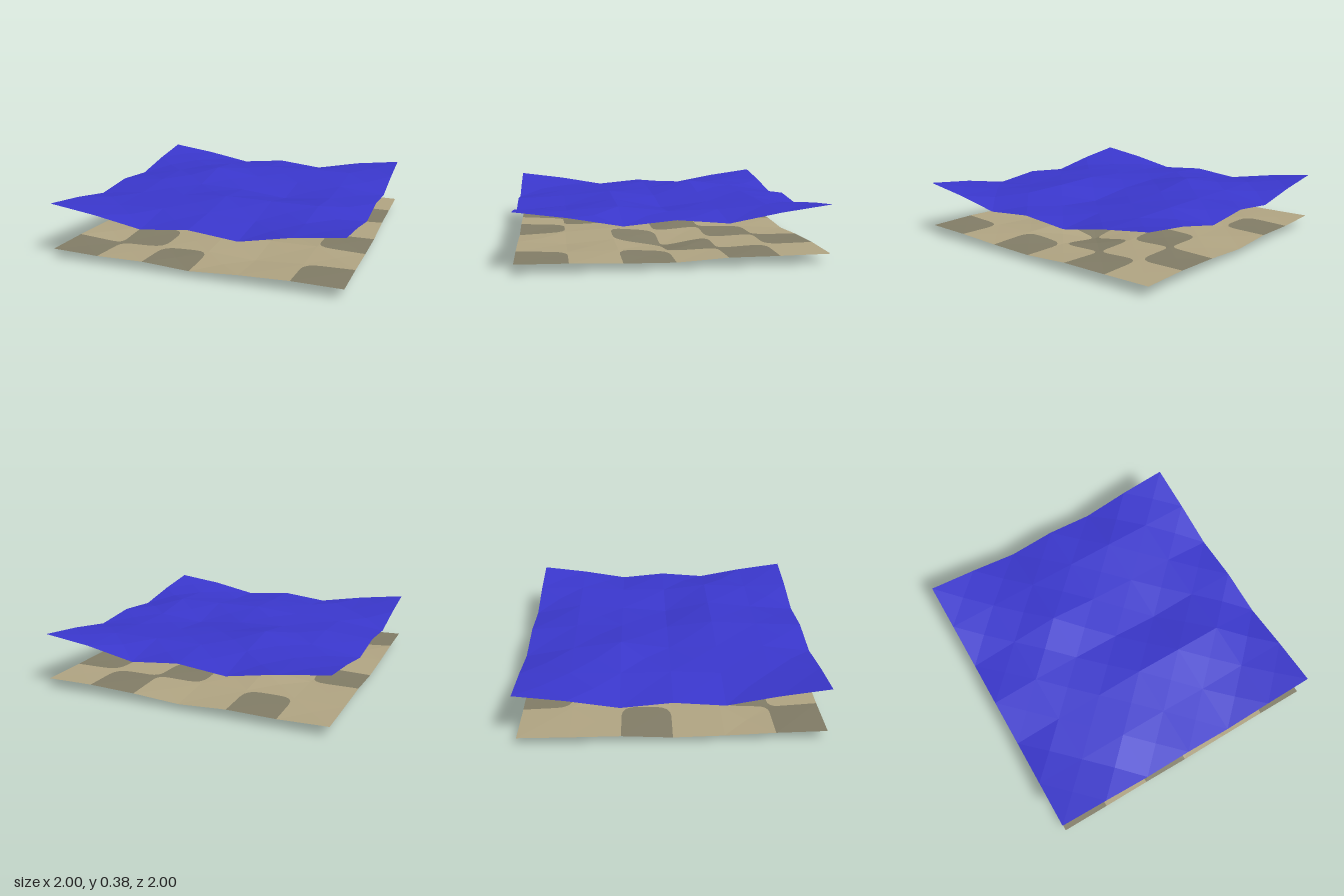
import * as THREE from 'three';

const N = 6; // cells per side
const material = (name, color) => {
  const m = new THREE.MeshStandardMaterial({ color, side: THREE.DoubleSide });
  m.name = name;
  return m;
};

// Heights in thousandths, rows from back to front; opposite edges repeat
const waterHeights = [
  [385, 340, 280, 315, 280, 345],
  [340, 340, 338, 340, 342, 340],
  [280, 330, 380, 335, 315, 315],
  [310, 335, 325, 315, 280, 310],
  [280, 315, 330, 355, 350, 350],
  [340, 315, 325, 330, 308, 330],
];
const bedHeights = [
  [65, 55, 60, 40, 60, 70],
  [62, 66, 66, 64, 68, 66],
  [62, 60, 100, 70, 55, 50],
  [42, 50, 50, 45, 0, 40],
  [48, 55, 55, 75, 60, 60],
  [60, 35, 45, 55, 35, 55],
];

// Dark patches of the bed, rows from back to front
const patches = ['.#..#.', '...#.#', '#.#.#.', '...#.#', '.#....', '#.#..#'];
const inGrid = (c, r) => c >= 0 && r >= 0 && c < N && r < N;
const isDark = (c, r) => inGrid(c, r) && patches[r][c] === '#';

// Radius of the corner that takes the other colour (0 for a plain corner)
function cornerCut(c, r, dx, dz) {
  const sides = [isDark(c + dx, r), isDark(c, r + dz)];
  if (isDark(c, r)) {
    if (!inGrid(c + dx, r + dz)) return 0;
    return isDark(c + dx, r + dz) && dx * dz < 0 ? 0 : 0.32;
  }
  return sides[0] && sides[1] && dx * dz > 0 ? 0.22 : 0;
}

// Faceted sheet: each cell is a fan about its centre, plus its cut corners
function makeSheet(name, heights, materials, patterned) {
  const faces = materials.map(() => []);
  const h = (c, r) => heights[r % N][c % N] / 1000;
  const corners = [[0, 0], [0, 1], [1, 1], [1, 0]].map((p) => new THREE.Vector2(...p));

  for (let r = 0; r < N; r++) for (let c = 0; c < N; c++) {
    const point = ({ x, y }) => [
      -1 + (2 * (c + x)) / N,
      (h(c, r) * (1 - x) + h(c + 1, r) * x) * (1 - y) +
        (h(c, r + 1) * (1 - x) + h(c + 1, r + 1) * x) * y,
      -1 + (2 * (r + y)) / N,
    ];
    const own = patterned && isDark(c, r) ? 1 : 0;
    const outline = [];
    corners.forEach((corner, k) => {
      const cut = patterned ? cornerCut(c, r, corner.x * 2 - 1, corner.y * 2 - 1) : 0;
      if (!cut) { outline.push(corner); return; }
      const arc = new THREE.QuadraticBezierCurve(
        corner.clone().lerp(corners[(k + 3) % 4], cut),
        corner,
        corner.clone().lerp(corners[(k + 1) % 4], cut),
      ).getPoints(4);
      outline.push(...arc);
      for (let i = 0; i < 4; i++) {
        faces[1 - own].push(...point(corner), ...point(arc[i + 1]), ...point(arc[i]));
      }
    });
    const centre = point(new THREE.Vector2(0.5, 0.5));
    outline.forEach((p, i) => {
      faces[own].push(...centre, ...point(p), ...point(outline[(i + 1) % outline.length]));
    });
  }

  const geometry = new THREE.BufferGeometry();
  geometry.setAttribute('position', new THREE.Float32BufferAttribute(faces.flat(), 3));
  let start = 0;
  faces.forEach((f, i) => {
    geometry.addGroup(start, f.length / 3, i);
    start += f.length / 3;
  });
  geometry.computeVertexNormals(); // separate triangles give flat facets
  const mesh = new THREE.Mesh(geometry, materials);
  mesh.name = name;
  return mesh;
}

export function createModel() {
  const model = new THREE.Group();
  model.name = 'waterTile';
  const blue = material('water blue', 0x3a37cc);
  const sand = material('sand', 0xb0a482);
  const mud = material('mud', 0x817c66);
  model.add(makeSheet('waterSurface', waterHeights, [blue], false));
  model.add(makeSheet('sandyBed', bedHeights, [sand, mud], true));
  return model;
}
